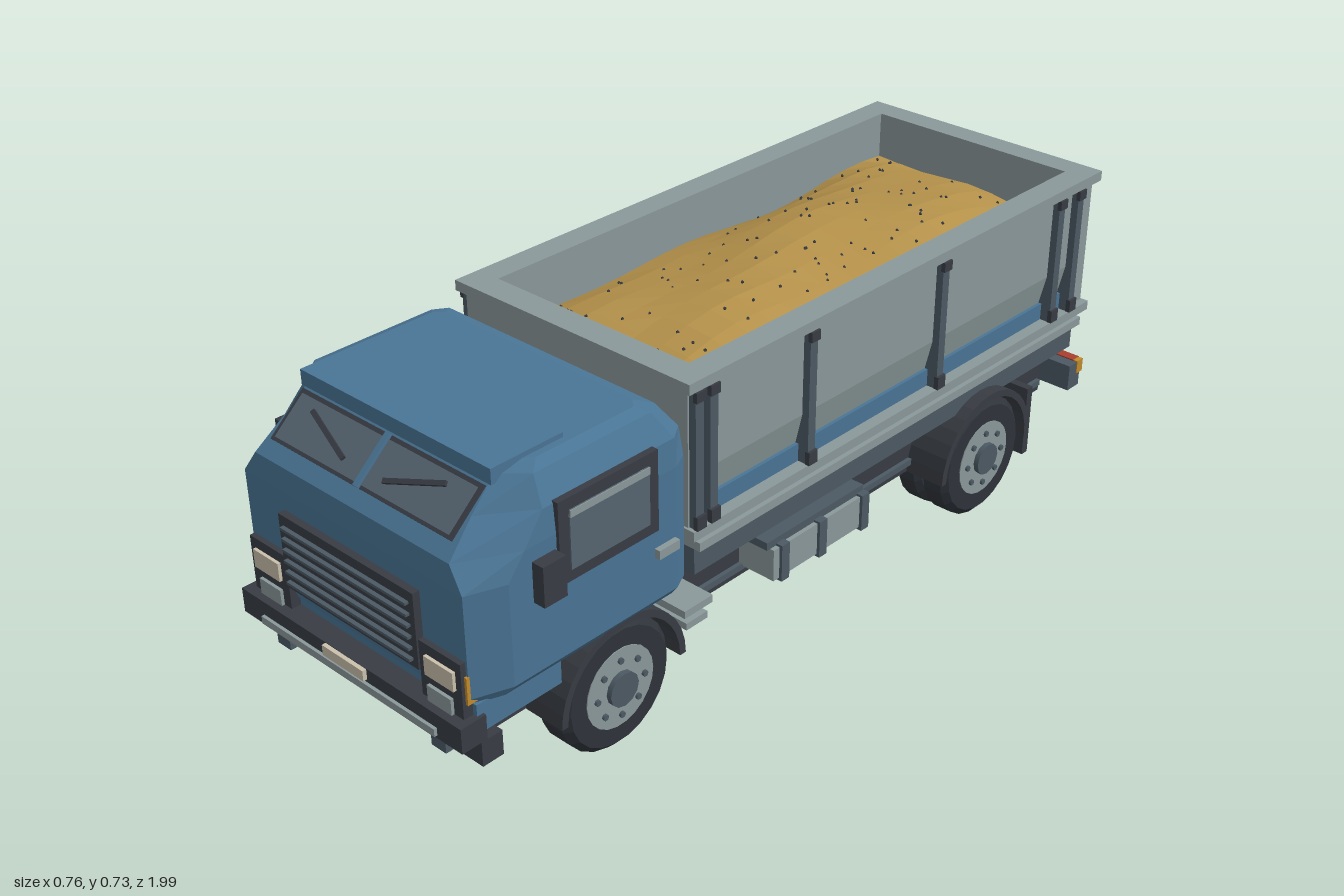
import * as THREE from 'three';
import { mergeGeometries } from 'three/addons/utils/BufferGeometryUtils.js';

const mat = (name, color) => Object.assign(new THREE.MeshStandardMaterial({ color }), { name });
const blue = mat('cab blue', 0x4a7595);
const grey = mat('body grey', 0x8b999b);
const slate = mat('slate', 0x4c5a64);
const dark = mat('dark trim', 0x383c43);
const tyreMat = mat('tyre', 0x2f343a);
const glass = mat('glass', 0x566570);
const sandMat = mat('sand', 0xb4914a);
const cream = mat('lamp cream', 0xcac1ac);
const red = mat('lamp red', 0xa8402f);
const amber = mat('lamp amber', 0xc18a2e);

function flat(geo) {
  const g = geo.index ? geo.toNonIndexed() : geo;
  g.computeVertexNormals();
  return g;
}
function add(parent, name, geo, material) {
  const m = new THREE.Mesh(geo, material);
  m.name = name;
  parent.add(m);
  return m;
}
// Box given by its limits on each axis
function box(parent, name, m, x0, x1, y0, y1, z0, z1) {
  const b = add(parent, name, new THREE.BoxGeometry(x1 - x0, y1 - y0, z1 - z0), m);
  b.position.set((x0 + x1) / 2, (y0 + y1) / 2, (z0 + z1) / 2);
  return b;
}
// Same box on both sides
function pair(parent, name, m, x0, x1, ...rest) {
  box(parent, name, m, x0, x1, ...rest);
  box(parent, name, m, -x1, -x0, ...rest);
}

// Cab shell from horizontal eight-sided rings
function cabGeometry() {
  // y, side half width, front half width, front z, front chamfer z, rear chamfer z, rear half width, rear z
  const levels = [
    [0.30, 0.325, 0.30, 0.945, 0.88, 0.45, 0.31, 0.415],
    [0.32, 0.34, 0.31, 0.95, 0.87, 0.45, 0.32, 0.41],
    [0.54, 0.34, 0.31, 0.95, 0.87, 0.45, 0.32, 0.41],
    [0.59, 0.34, 0.275, 0.945, 0.83, 0.45, 0.32, 0.41],
    [0.65, 0.335, 0.262, 0.878, 0.78, 0.45, 0.31, 0.412],
    [0.705, 0.305, 0.255, 0.815, 0.77, 0.48, 0.285, 0.45],
    [0.715, 0.28, 0.24, 0.79, 0.74, 0.50, 0.26, 0.48],
  ];
  const pos = [], idx = [], n = 8;
  for (const [y, hw, fw, zf, zc, zrc, rw, zr] of levels) {
    const half = [[fw, zf], [hw, zc], [hw, zrc], [rw, zr]];
    const ring = [...half, ...half.map(([x, z]) => [-x, z]).reverse()];
    ring.forEach(([x, z]) => pos.push(x, y, z));
  }
  for (let l = 0; l < levels.length - 1; l++) {
    for (let i = 0; i < n; i++) {
      const a = l * n + i, b = l * n + (i + 1) % n;
      idx.push(a, b, b + n, a, b + n, a + n);
    }
  }
  const t = (levels.length - 1) * n;
  for (let i = 1; i < n - 1; i++) idx.push(t, t + i, t + i + 1, 0, i + 1, i);
  const g = new THREE.BufferGeometry();
  g.setAttribute('position', new THREE.Float32BufferAttribute(pos, 3));
  g.setIndex(idx);
  return flat(g);
}

function buildCab(root) {
  const cab = new THREE.Group();
  cab.name = 'cab';
  root.add(cab);
  add(cab, 'cabShell', cabGeometry(), blue);
  box(cab, 'lowerNose', blue, -0.315, 0.315, 0.24, 0.305, 0.735, 0.94);
  box(cab, 'roofVisor', blue, -0.265, 0.265, 0.692, 0.725, 0.66, 0.832);

  // Windscreen on the sloped face
  const screen = new THREE.Group();
  screen.name = 'windscreen';
  screen.position.set(0, 0.652, 0.876);
  screen.rotation.x = -0.846;
  cab.add(screen);
  box(screen, 'screenFrame', dark, -0.255, 0.255, -0.057, 0.055, -0.004, 0.004);
  pair(screen, 'screenGlass', glass, 0.008, 0.245, -0.05, 0.046, 0, 0.007);
  box(screen, 'screenPillar', blue, -0.006, 0.006, -0.057, 0.055, 0, 0.012);
  for (const s of [1, -1]) {
    const w = box(screen, 'wiper', dark, -0.07, 0.07, -0.005, 0.005, 0.012, 0.018);
    w.position.x = s * 0.122;
    w.rotation.z = s * 0.36;
  }

  // Side windows, mirrors, handles
  pair(cab, 'sideWindowFrame', dark, 0.328, 0.347, 0.48, 0.655, 0.505, 0.755);
  pair(cab, 'sideGlass', glass, 0.34, 0.35, 0.505, 0.63, 0.53, 0.73);
  pair(cab, 'windowTopRail', grey, 0.342, 0.352, 0.615, 0.63, 0.53, 0.73);
  pair(cab, 'doorHandle', grey, 0.335, 0.353, 0.418, 0.438, 0.455, 0.51);
  pair(cab, 'mirrorArm', dark, 0.32, 0.36, 0.515, 0.535, 0.785, 0.80);
  pair(cab, 'mirror', dark, 0.352, 0.38, 0.485, 0.57, 0.77, 0.825);

  // Grille with slats
  box(cab, 'grille', dark, -0.193, 0.193, 0.335, 0.50, 0.93, 0.966);
  for (let i = 0; i < 6; i++) {
    const y = 0.35 + i * 0.0245;
    box(cab, 'grilleSlat', slate, -0.18, 0.18, y, y + 0.006, 0.96, 0.975);
  }

  // Lamps
  pair(cab, 'lampPanel', dark, 0.193, 0.305, 0.27, 0.40, 0.92, 0.962);
  pair(cab, 'headlamp', cream, 0.212, 0.29, 0.337, 0.378, 0.96, 0.969);
  pair(cab, 'fogLamp', grey, 0.215, 0.28, 0.28, 0.315, 0.96, 0.969);
  pair(cab, 'sideMarker', amber, 0.302, 0.311, 0.31, 0.37, 0.93, 0.955);

  // Bumper
  box(cab, 'bumper', dark, -0.322, 0.322, 0.225, 0.28, 0.925, 0.985);
  pair(cab, 'bumperEnd', dark, 0.25, 0.322, 0.17, 0.225, 0.89, 0.94);
  box(cab, 'bumperStrip', grey, -0.255, 0.255, 0.232, 0.249, 0.98, 0.992);
  box(cab, 'frontPlate', cream, -0.06, 0.06, 0.256, 0.279, 0.985, 0.994);
  pair(cab, 'towHook', slate, 0.21, 0.25, 0.175, 0.225, 0.89, 0.965);
}

function buildChassis(root) {
  const ch = new THREE.Group();
  ch.name = 'chassis';
  root.add(ch);
  box(ch, 'frame', dark, -0.23, 0.23, 0.145, 0.26, -0.94, 0.90);
  box(ch, 'frontSkid', dark, -0.225, 0.225, 0.125, 0.14, 0.86, 0.90);
  box(ch, 'skidPlate', dark, -0.215, 0.215, 0.135, 0.26, 0.88, 0.91);
  pair(ch, 'frameFlange', slate, 0.225, 0.24, 0.165, 0.18, -0.93, 0.40);
  box(ch, 'spacer', dark, -0.2, 0.2, 0.255, 0.29, -0.93, 0.36);
  box(ch, 'subframe', slate, -0.3, 0.3, 0.285, 0.345, -0.95, 0.36);
  box(ch, 'subframeDeck', grey, -0.315, 0.315, 0.345, 0.365, -0.96, 0.36);
  // Side tanks and steps
  pair(ch, 'tank', grey, 0.23, 0.325, 0.175, 0.25, -0.13, 0.15);
  pair(ch, 'tankTop', slate, 0.23, 0.315, 0.25, 0.268, -0.15, 0.16);
  for (const z of [-0.14, 0, 0.12]) pair(ch, 'tankStrap', slate, 0.23, 0.332, 0.168, 0.255, z - 0.012, z + 0.012);
  pair(ch, 'upperStep', grey, 0.225, 0.34, 0.235, 0.252, 0.35, 0.43);
  pair(ch, 'lowerStep', grey, 0.225, 0.335, 0.20, 0.216, 0.36, 0.42);
  pair(ch, 'stepBracket', slate, 0.225, 0.27, 0.18, 0.26, 0.375, 0.41);
  // Rear bumper, lamps and mudflaps
  box(ch, 'rearBumper', slate, -0.31, 0.31, 0.17, 0.235, -0.99, -0.945);
  pair(ch, 'tailLamp', red, 0.2, 0.3, 0.205, 0.238, -1.0, -0.975);
  pair(ch, 'rearMarker', amber, 0.3, 0.312, 0.205, 0.238, -0.998, -0.975);
  pair(ch, 'mudflap', dark, 0.19, 0.325, 0.085, 0.26, -0.765, -0.745);
  // Wheel arches
  const arch = new THREE.Shape();
  arch.absarc(0, 0, 0.168, 0, Math.PI, false);
  arch.absarc(0, 0, 0.152, Math.PI, 0, true);
  for (const [z, inner] of [[0.585, 0.225], [-0.587, 0.18]]) {
    const g = new THREE.ExtrudeGeometry(arch, { depth: 0.33 - inner, bevelEnabled: false, curveSegments: 8 });
    g.rotateY(Math.PI / 2);
    for (const x of [inner, -0.33]) add(ch, 'wheelArch', g, dark).position.set(x, 0.145, z);
  }
}

// Tyre, with rim, hub and nuts when it is an outer wheel
function wheel(root, side, x, z, w, outer) {
  const g = new THREE.Group();
  g.name = 'wheel';
  g.position.set(side * x, 0.145, z);
  if (side < 0) g.rotation.y = Math.PI;
  root.add(g);
  const profile = [[0.085, -w], [0.13, -w], [0.145, -w * 0.65], [0.145, w * 0.65], [0.13, w], [0.088, w], [0.085, w * 0.7]];
  const tyre = new THREE.LatheGeometry(profile.map(p => new THREE.Vector2(...p)), 22);
  add(g, 'tyre', flat(tyre.rotateZ(-Math.PI / 2)), tyreMat);
  const disc = (name, r, x0, x1, m, n) => {
    const c = add(g, name, new THREE.CylinderGeometry(r, r, x1 - x0, n).rotateZ(-Math.PI / 2), m);
    c.position.x = (x0 + x1) / 2;
    return c;
  };
  disc('rim', 0.09, -w * 0.9, outer ? w + 0.002 : w * 0.8, grey, 22);
  if (!outer) return;
  disc('hub', 0.038, w, w + 0.014, slate, 12);
  for (let i = 0; i < 8; i++) {
    const a = i * Math.PI / 4, n = disc('wheelNut', 0.007, w, w + 0.008, slate, 6);
    n.position.y = Math.sin(a) * 0.064;
    n.position.z = Math.cos(a) * 0.064;
  }
}

function buildBody(root) {
  const bed = new THREE.Group();
  bed.name = 'tipperBody';
  root.add(bed);
  box(bed, 'bedGap', dark, -0.28, 0.28, 0.36, 0.392, -0.93, 0.36);
  box(bed, 'bedFloor', grey, -0.328, 0.328, 0.388, 0.41, -0.965, 0.39);
  // Side walls, tapering in towards the floor
  const wall = new THREE.Shape([[0.268, 0.40], [0.292, 0.40], [0.292, 0.45], [0.308, 0.52], [0.308, 0.72], [0.268, 0.72]]
    .map(p => new THREE.Vector2(...p)));
  for (const s of [1, -1]) {
    const g = new THREE.ExtrudeGeometry(wall, { depth: 1.33, bevelEnabled: false });
    const m = add(bed, 'sideWall', g, grey);
    m.position.z = s > 0 ? -0.95 : 0.38;
    if (s < 0) m.rotation.y = Math.PI;
  }
  pair(bed, 'sideStripe', blue, 0.288, 0.3, 0.41, 0.45, -0.94, 0.37);
  box(bed, 'frontWall', grey, -0.308, 0.308, 0.40, 0.72, 0.34, 0.385);
  box(bed, 'tailgate', grey, -0.31, 0.31, 0.40, 0.72, -0.96, -0.915);
  // Top rim
  pair(bed, 'sideRim', grey, 0.265, 0.325, 0.712, 0.735, -0.972, 0.398);
  box(bed, 'frontRim', grey, -0.266, 0.266, 0.712, 0.735, 0.335, 0.398);
  box(bed, 'rearRim', grey, -0.266, 0.266, 0.712, 0.735, -0.972, -0.912);
  // Posts
  for (const z of [0.37, 0.33, 0.04, -0.39, -0.82, -0.895]) {
    pair(bed, 'post', slate, 0.285, 0.325, 0.41, 0.712, z - 0.011, z + 0.011);
    pair(bed, 'postCap', dark, 0.32, 0.331, 0.41, 0.44, z - 0.013, z + 0.013);
    pair(bed, 'postHead', dark, 0.32, 0.33, 0.69, 0.712, z - 0.013, z + 0.013);
  }
  // Tailgate fittings
  box(bed, 'tailgateBar', dark, -0.25, 0.25, 0.66, 0.68, -0.985, -0.955);
  box(bed, 'tailgateHatch', blue, -0.17, 0.17, 0.445, 0.58, -0.985, -0.955);
  box(bed, 'hatchHandle', grey, 0.1, 0.118, 0.455, 0.57, -0.995, -0.98);

  // Sand heap with scattered grit
  const height = (x, z) => {
    const u = x / 0.27, v = (z + 0.29) / 0.63;
    return 0.615 + 0.085 * (1 - u * u) * (1 - v ** 4) * (0.85 - 0.25 * v)
      + 0.008 * Math.sin(z * 11 + x * 7) + 0.006 * Math.sin(x * 19 - z * 8);
  };
  const heap = new THREE.PlaneGeometry(0.54, 1.26, 8, 18).rotateX(-Math.PI / 2).translate(0, 0, -0.29);
  const p = heap.attributes.position;
  for (let i = 0; i < p.count; i++) p.setY(i, height(p.getX(i), p.getZ(i)));
  add(bed, 'sandHeap', flat(heap), sandMat);
  let seed = 7;
  const rand = () => (seed = (seed * 16807) % 2147483647) / 2147483647;
  const grit = [];
  for (let i = 0; i < 130; i++) {
    const x = (rand() - 0.5) * 0.5, z = -0.29 + (rand() - 0.5) * 1.2;
    grit.push(new THREE.OctahedronGeometry(0.0045).translate(x, height(x, z), z));
  }
  add(bed, 'grit', mergeGeometries(grit), dark);
}

export function createModel() {
  const root = new THREE.Group();
  root.name = 'tipperTruck';
  buildCab(root);
  buildChassis(root);
  buildBody(root);
  for (const s of [1, -1]) {
    wheel(root, s, 0.271, 0.585, 0.043, true);
    wheel(root, s, 0.285, -0.587, 0.036, true);
    wheel(root, s, 0.211, -0.587, 0.033, false);
  }
  return root;
}
